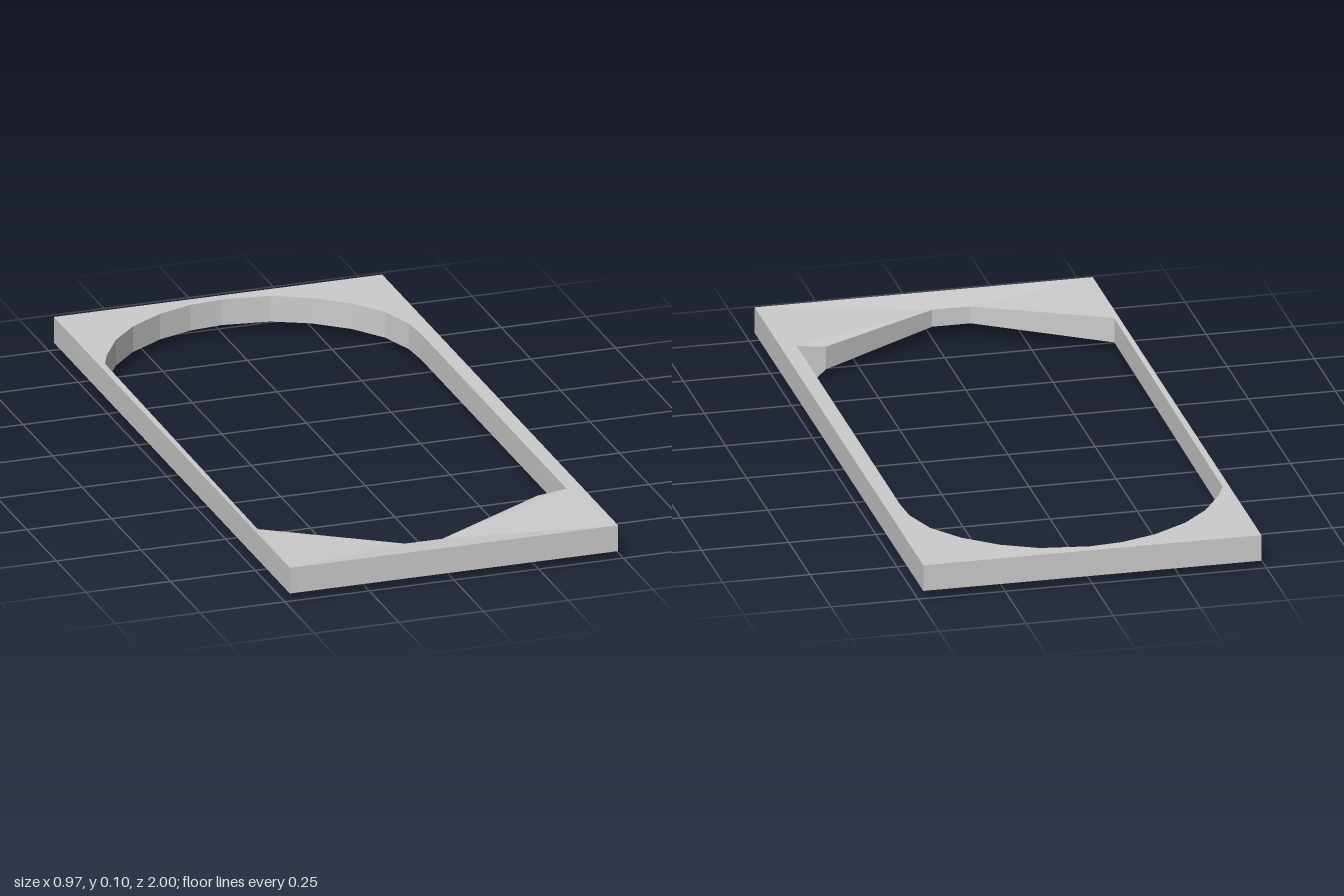
import * as THREE from 'three';

const TOP = 0.1, BOTTOM = 0.023;

// Points are [x, z, top height, bottom height]; heights default to the flat frame
const outer = [[-0.485, -1], [0.485, -1], [0.485, 1], [-0.485, 1]];
const opening = [
  // rounded back end
  [-0.466, -0.62], [-0.44, -0.68], [-0.378, -0.78], [-0.3, -0.86], [-0.197, -0.925],
  [-0.095, -0.96], [0, -0.97], [0.138, -0.95], [0.24, -0.9], [0.333, -0.823],
  [0.4, -0.73], [0.434, -0.625], [0.44, -0.54],
  // notch with its small pointed tab
  [0.44, 0.692, TOP, 0.023], [0.38, 0.69, 0.092, 0], [0.355, 0.69, 0.09, 0.022],
  // angled front end, slightly sunken
  [0, 0.9, 0.086, 0.035], [-0.11, 0.9, 0.086, 0.035], [-0.472, 0.69, 0.098, 0.025],
];

const material = new THREE.MeshStandardMaterial({
  color: 0xcccccc, flatShading: true, side: THREE.DoubleSide,
});

// Upright band following a closed outline
function wall(name, points, flip) {
  const pos = [];
  points.forEach((a, i) => {
    const b = points[(i + 1) % points.length];
    const [ax, az, at = TOP, ab = BOTTOM] = a;
    const [bx, bz, bt = TOP, bb = BOTTOM] = b;
    const quad = [[ax, at, az], [bx, bt, bz], [bx, bb, bz], [ax, ab, az]];
    const order = flip ? [0, 2, 1, 0, 3, 2] : [0, 1, 2, 0, 2, 3];
    order.forEach((k) => pos.push(...quad[k]));
  });
  const geo = new THREE.BufferGeometry();
  geo.setAttribute('position', new THREE.Float32BufferAttribute(pos, 3));
  geo.computeVertexNormals();
  const mesh = new THREE.Mesh(geo, material);
  mesh.name = name;
  return mesh;
}

// Top sheet with the opening cut out, its rim lowered to match the inner wall
function topPlate() {
  const toVec = ([x, z]) => new THREE.Vector2(x, -z);
  const shape = new THREE.Shape(outer.map(toVec));
  shape.holes.push(new THREE.Path(opening.map(toVec)));
  const geo = new THREE.ShapeGeometry(shape);
  geo.rotateX(-Math.PI / 2);
  const pos = geo.attributes.position;
  for (let i = 0; i < pos.count; i++) {
    const rim = opening.find(([x, z]) => Math.hypot(x - pos.getX(i), z - pos.getZ(i)) < 1e-4);
    pos.setY(i, rim?.[2] ?? TOP);
  }
  geo.computeVertexNormals();
  const mesh = new THREE.Mesh(geo, material);
  mesh.name = 'topPlate';
  return mesh;
}

export function createModel() {
  const group = new THREE.Group();
  group.name = 'openFrame';
  group.add(topPlate(), wall('outerWall', outer, false), wall('openingWall', opening, true));
  return group;
}
